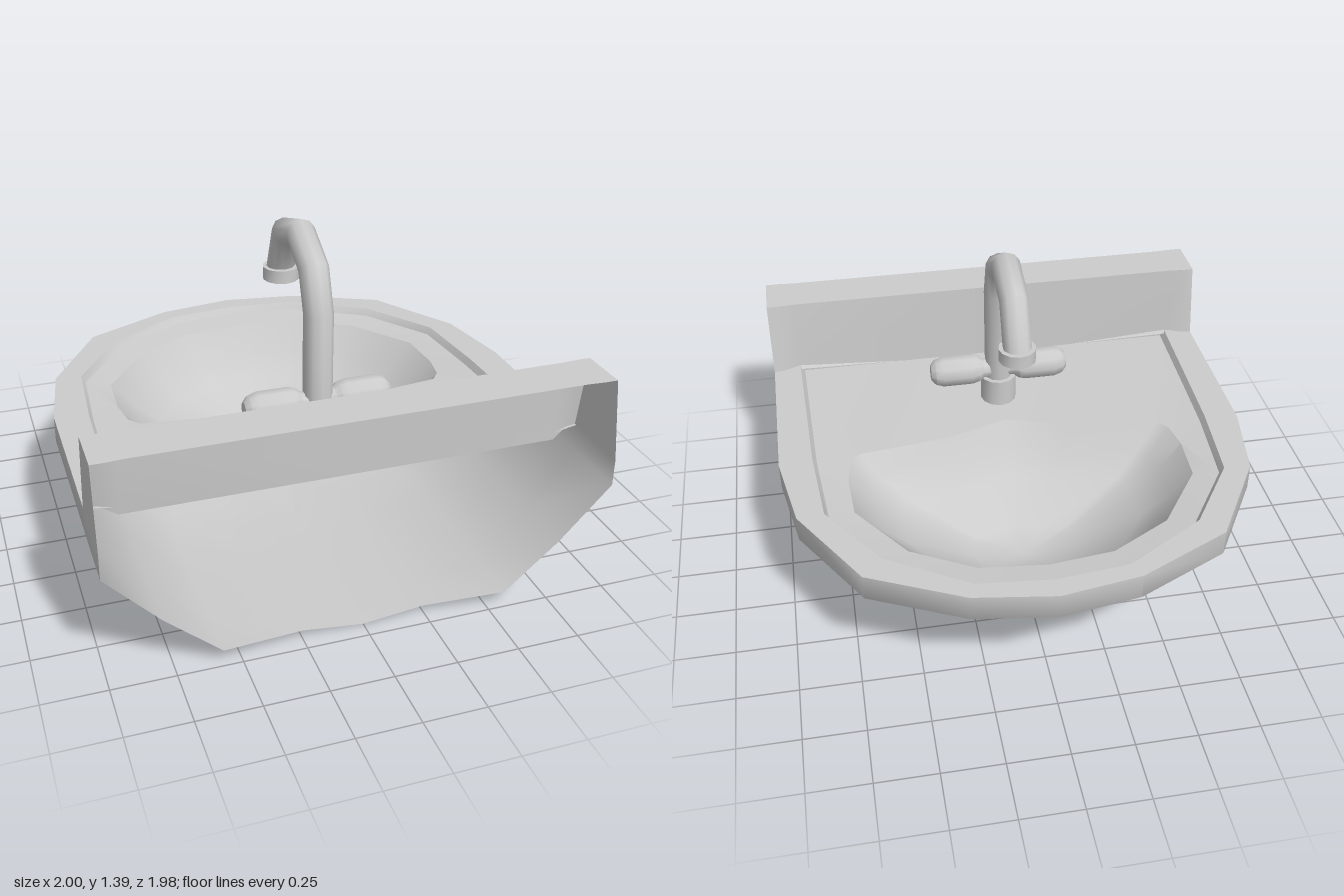
import * as THREE from 'three';
import { toCreasedNormals } from 'three/addons/utils/BufferGeometryUtils.js';

const material = new THREE.MeshStandardMaterial({ color: 0xcccccc, side: THREE.DoubleSide });

// Skins a grid of points: rows of equal length, each point [x, y, z]
function loft(name, rows, crease = 0.7) {
  const n = rows[0].length;
  const index = [];
  for (let r = 0; r < rows.length - 1; r++) {
    for (let c = 0; c < n - 1; c++) {
      const a = r * n + c;
      index.push(a, a + 1, a + n, a + 1, a + n + 1, a + n);
    }
  }
  const g = new THREE.BufferGeometry();
  g.setAttribute('position', new THREE.Float32BufferAttribute(rows.flat(2), 3));
  g.setIndex(index);
  const mesh = new THREE.Mesh(toCreasedNormals(g, crease), material);
  mesh.name = name;
  return mesh;
}

// Half a row (starting at x = 0) becomes a full row, from right to left
const mirror = (half) => [...half.slice(1).reverse().map(([x, y, z]) => [-x, y, z]), ...half];

function solid(name, geometry, x, y, z) {
  const mesh = new THREE.Mesh(toCreasedNormals(geometry, 0.7), material);
  mesh.name = name;
  mesh.position.set(x, y, z);
  return mesh;
}

// Half outlines in plan, [x, z], from the middle of the bowl end to the wall
const OUTER = [[0, -0.99], [0.33, -0.94], [0.71, -0.76], [0.94, -0.38], [1, -0.03], [1, 0.35], [1, 0.69]];
const INNER = [[0, -0.9], [0.3, -0.87], [0.63, -0.67], [0.83, -0.37], [0.86, 0], [0.87, 0.35], [0.88, 0.72]];
const BOWL = [[0, -0.77], [0.27, -0.74], [0.52, -0.6], [0.71, -0.33], [0.72, -0.12], [0.7, 0], [0.66, 0.05], [0.27, 0.1], [0, 0.19]];
const DECK_BACK = [[0.4, 0.55, 0.72], [0, 0.55, 0.72]];

function makeHull() {
  // Each level: height, width scale, front z, back z
  const levels = [
    [0.58, 1, -0.99, 0.985], [0.47, 1, -0.99, 0.985], [0.25, 0.79, -0.77, 0.985],
    [0.06, 0.57, -0.38, 0.985], [0.035, 0.25, -0.08, 0.935], [0.003, 0, 0.14, 0.93],
  ];
  const plan = [...OUTER, [1, 0.985]];
  const rows = levels.map(([y, s, front, back]) => mirror(
    plan.map(([x, z]) => [x * s, y, front + (z + 0.99) / 1.975 * (back - front)])));
  return loft('outerHull', rows, 0.85);
}

function makeBasin() {
  const at = (y) => ([x, z]) => [x, y, z];
  const rows = [
    [...OUTER.map(at(0.58)), ...DECK_BACK],
    [...INNER.map(at(0.58)), ...DECK_BACK],
    [...INNER.map(([x, z]) => [x * 0.98, 0.55, z > 0.5 ? z : z * 0.98]), ...DECK_BACK],
    BOWL.map(at(0.535)),
  ];
  // Bowl narrows towards its lowest point
  const cz = -0.3;
  for (const [s, y] of [[0.87, 0.43], [0.7, 0.33], [0.31, 0.2], [0, 0.17]]) {
    rows.push(BOWL.map(([x, z]) => [x * s, y, cz + (z - cz) * s]));
  }
  return loft('rimDeckAndBowl', rows.map(mirror));
}

function makeBacksplash() {
  const group = new THREE.Group();
  group.name = 'backsplash';
  // Front panel curves forward to the ends, then the top turns back
  group.add(loft('backsplashPanel', [
    mirror([[0, 0.55, 0.72], [0.88, 0.55, 0.72], [0.95, 0.58, 0.69], [1, 0.58, 0.68]]),
    mirror([[0, 0.9, 0.735], [0.88, 0.9, 0.735], [0.95, 0.9, 0.73], [1, 0.9, 0.73]]),
    mirror([[0, 0.9, 0.93], [0.88, 0.9, 0.93], [0.95, 0.9, 0.935], [1, 0.9, 0.935]]),
  ]));
  for (const x of [-1, 1]) {
    group.add(loft('backsplashCheek', [
      [[x, 0.58, 0.68], [x, 0.58, 0.985]],
      [[x, 0.9, 0.73], [x, 0.9, 0.935]],
    ]));
  }
  return group;
}

function makeTap() {
  const tap = new THREE.Group();
  tap.name = 'tap';
  tap.add(solid('tapBase', new THREE.CylinderGeometry(0.08, 0.08, 0.18, 12), 0, 0.57, 0.375));

  // Spout rings: outer [z, y] and inner [z, y] edge of every bend
  const bends = [
    [0.435, 0.58, 0.315, 0.58], [0.435, 1.08, 0.315, 1.08], [0.36, 1.28, 0.27, 1.2],
    [0.16, 1.39, 0.16, 1.27], [-0.07, 1.32, 0.02, 1.23], [-0.16, 1.09, -0.05, 1.09],
  ];
  tap.add(loft('spout', bends.map(([oz, oy, iz, iy]) => Array.from({ length: 11 }, (_, i) => {
    const a = i / 10 * Math.PI * 2, c = Math.cos(a) / 2;
    return [0.06 * Math.sin(a), (oy + iy) / 2 + (oy - iy) * c, (oz + iz) / 2 + (oz - iz) * c];
  })), 1));
  tap.add(solid('spoutTip', new THREE.CylinderGeometry(0.077, 0.077, 0.055, 12), 0, 1.073, -0.1));

  // Handles on both sides
  const profile = [[0.04, 0], [0.045, 0.07], [0.062, 0.09], [0.07, 0.12], [0.07, 0.25], [0.058, 0.285], [0.035, 0.305], [0, 0.305]]
    .map(([r, h]) => new THREE.Vector2(r, h));
  for (const side of [-1, 1]) {
    const handle = solid('handle', new THREE.LatheGeometry(profile, 10), 0, 0.7, 0.372);
    handle.rotation.z = -side * Math.PI / 2;
    tap.add(handle);
  }
  return tap;
}

export function createModel() {
  const sink = new THREE.Group();
  sink.name = 'washbasin';
  sink.add(makeHull(), makeBasin(), makeBacksplash(), makeTap());
  return sink;
}
